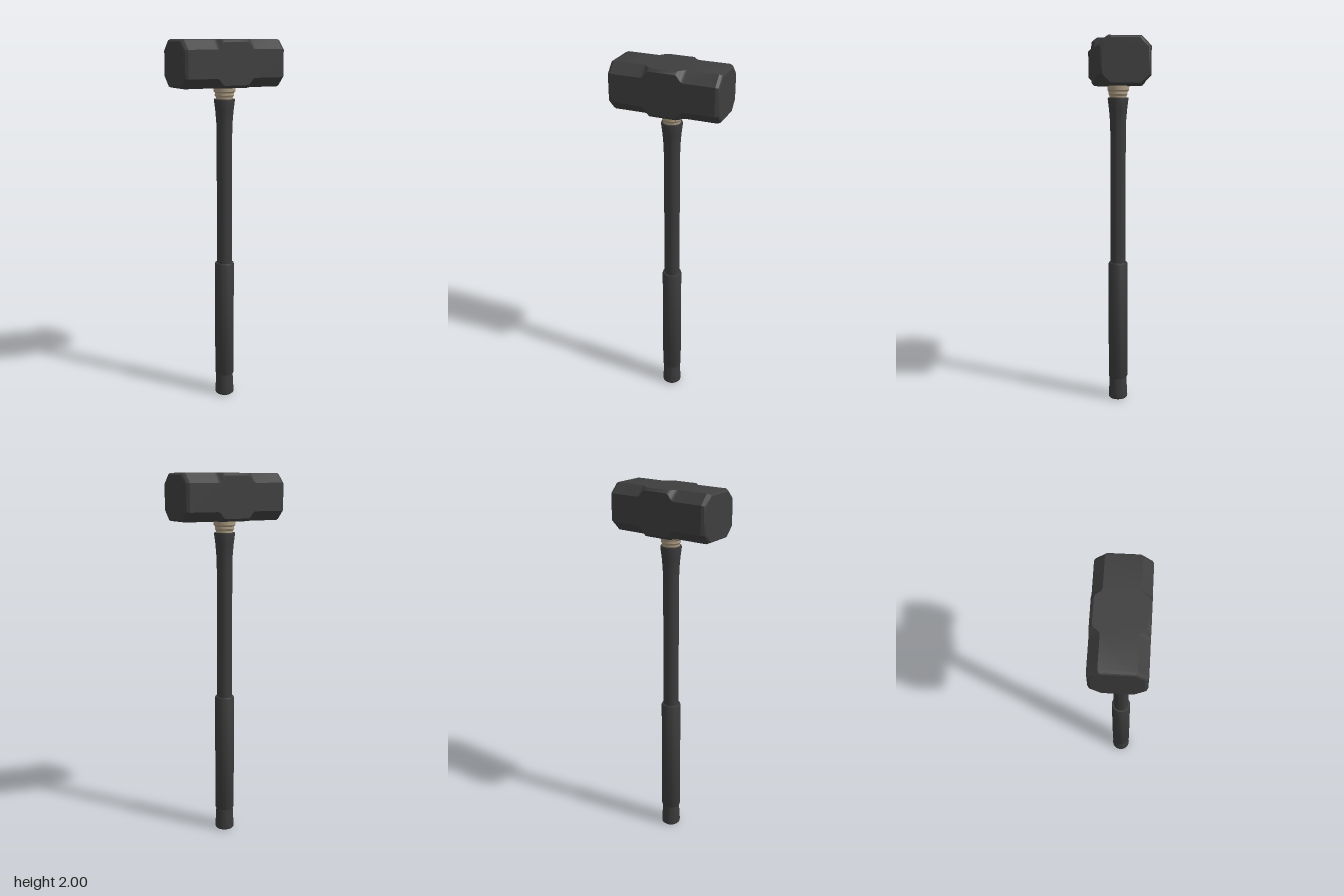
import * as THREE from 'three';
import { toCreasedNormals } from 'three/addons/utils/BufferGeometryUtils.js';

const headSteel = new THREE.MeshStandardMaterial({ color: 0x3e3e3e });
headSteel.name = 'dark steel';
const gripRubber = new THREE.MeshStandardMaterial({ color: 0x3b3b3b });
gripRubber.name = 'dark rubber';
const wood = new THREE.MeshStandardMaterial({ color: 0xa8987f });
wood.name = 'pale wood';

// Turned part from [radius, height] pairs, with crisp steps
function turned(name, points, material) {
  const profile = points.map(([r, y]) => new THREE.Vector2(r, y));
  const geometry = toCreasedNormals(new THREE.LatheGeometry(profile, 32), 0.5);
  const mesh = new THREE.Mesh(geometry, material);
  mesh.name = name;
  return mesh;
}

// Head: octagonal sections along x; the corner cut shrinks around the eye
function headGeometry() {
  const half = [
    // x, corner cut, inset of the whole section
    [0.291, 0.046, 0.016], [0.286, 0.048, 0.008], [0.272, 0.05, 0],
    [0.112, 0.05, 0], [0.103, 0.048, 0], [0.095, 0.042, 0],
    [0.087, 0.032, 0], [0.079, 0.021, 0], [0.068, 0.014, 0],
  ];
  const sections = [...half.map(([x, c, i]) => [-x, c, i]), ...half.slice().reverse()];
  const positions = [];
  const indices = [];
  for (const [x, cut, inset] of sections) {
    const h = 0.1225 - inset * 0.7;
    const d = 0.135 - inset;
    const ring = [
      [h, d - cut], [h - cut, d], [cut - h, d], [-h, d - cut],
      [-h, cut - d], [cut - h, -d], [h - cut, -d], [h, cut - d],
    ];
    for (const [y, z] of ring) positions.push(x, y, z);
  }
  const last = (sections.length - 1) * 8;
  for (let s = 0; s < sections.length - 1; s++) {
    for (let k = 0; k < 8; k++) {
      const a = s * 8 + k;
      const b = s * 8 + (k + 1) % 8;
      indices.push(a, b, a + 8, b, b + 8, a + 8);
    }
  }
  // Striking faces
  for (let k = 1; k < 7; k++) {
    indices.push(0, k + 1, k);
    indices.push(last, last + k, last + k + 1);
  }
  const geometry = new THREE.BufferGeometry();
  geometry.setAttribute('position', new THREE.Float32BufferAttribute(positions, 3));
  geometry.setIndex(indices);
  return toCreasedNormals(geometry, 0.45);
}

export function createModel() {
  const group = new THREE.Group();
  group.name = 'sledgehammer';

  const head = new THREE.Mesh(headGeometry(), headSteel);
  head.name = 'hammerHead';
  head.position.y = 1.8775;
  group.add(head);

  // Flared butt below the grip
  group.add(turned('handleButt', [
    [0, 0], [0.046, 0], [0.052, 0.006], [0.053, 0.02], [0.05, 0.07], [0.047, 0.13],
  ], gripRubber));

  // Thick sleeve
  group.add(turned('gripSleeve', [
    [0.045, 0.123], [0.05, 0.123], [0.053, 0.13], [0.053, 0.78], [0.05, 0.788], [0.04, 0.788],
  ], gripRubber));

  // Shaft that widens under the head
  group.add(turned('shaft', [
    [0.042, 0.78], [0.042, 1.5], [0.044, 1.57], [0.049, 1.63],
    [0.056, 1.685], [0.055, 1.692], [0, 1.692],
  ], gripRubber));

  // Exposed wood between shaft and head
  group.add(turned('woodCollar', [
    [0.046, 1.688], [0.046, 1.702], [0.052, 1.712], [0.051, 1.724],
    [0.058, 1.732], [0.058, 1.76],
  ], wood));

  return group;
}
